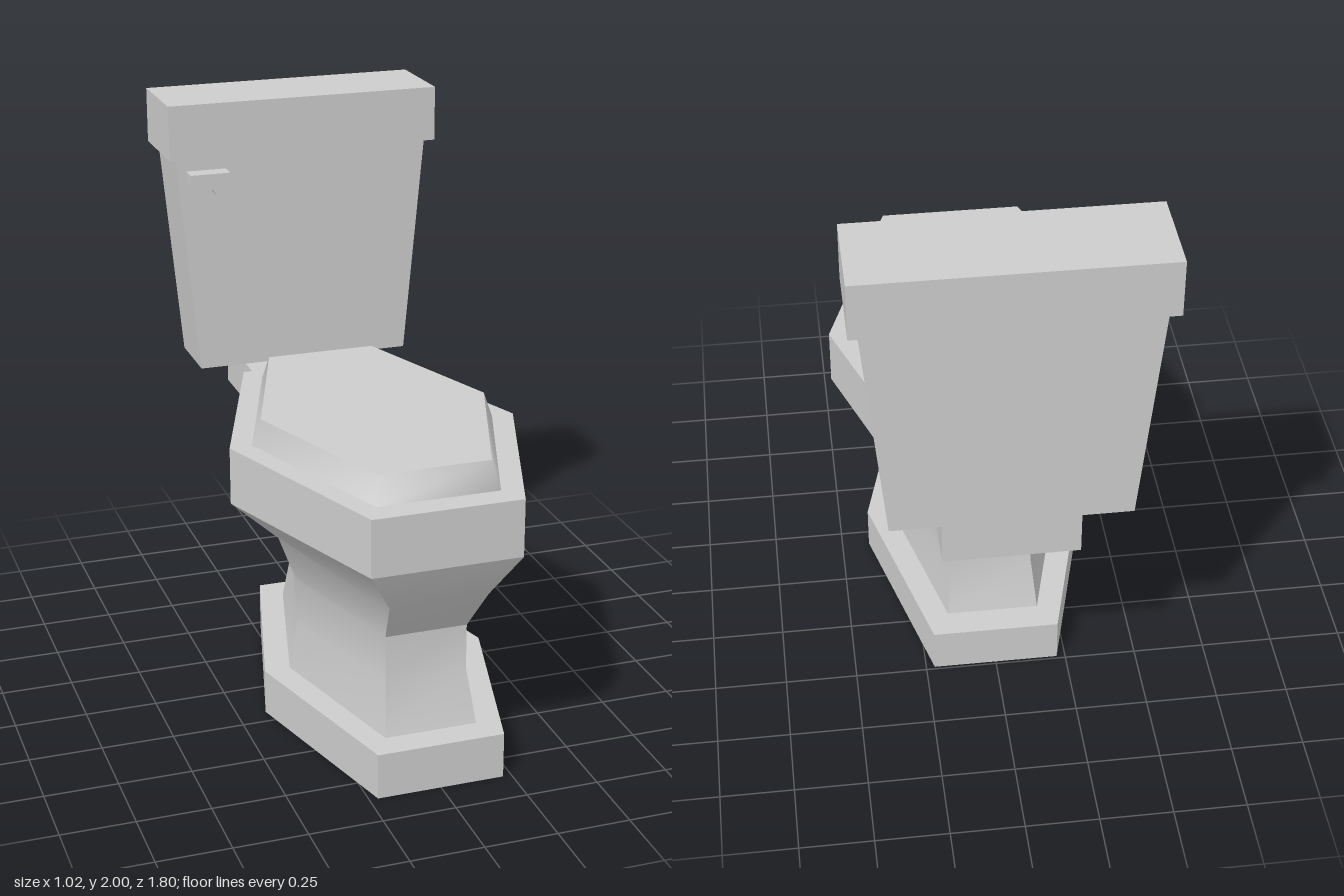
import * as THREE from 'three';
import { mergeGeometries, toCreasedNormals } from 'three/addons/utils/BufferGeometryUtils.js';

const MID_Z = 0.185; // widest line of the six-sided bowl

// Six-sided cross-section: half width at the middle and ends, front and back z
function hex(y, mid, end, front, back) {
  return [[end, front], [mid, MID_Z], [end, back], [-end, back], [-mid, MID_Z], [-end, front]]
    .map(([x, z]) => new THREE.Vector3(x, y, z));
}

// Four-sided cross-section
function rect(y, half, front, back) {
  return [[half, front], [half, back], [-half, back], [-half, front]]
    .map(([x, z]) => new THREE.Vector3(x, y, z));
}

// Walls through the sections (bottom to top), plus flat caps
function loft(rings, { crease = 0.02, top = true, bottom = true } = {}) {
  const walls = [], caps = [];
  const n = rings[0].length;
  for (let r = 0; r < rings.length - 1; r++) {
    const lo = rings[r], hi = rings[r + 1];
    for (let i = 0; i < n; i++) {
      const j = (i + 1) % n;
      walls.push(lo[i], lo[j], hi[j], lo[i], hi[j], hi[i]);
    }
  }
  const first = rings[0], last = rings[rings.length - 1];
  for (let i = 1; i < n - 1; i++) {
    if (top) caps.push(last[0], last[i], last[i + 1]);
    if (bottom) caps.push(first[0], first[i + 1], first[i]);
  }
  const parts = [toCreasedNormals(new THREE.BufferGeometry().setFromPoints(walls), crease)];
  if (caps.length) {
    const cap = new THREE.BufferGeometry().setFromPoints(caps);
    cap.computeVertexNormals();
    parts.push(cap);
  }
  return mergeGeometries(parts);
}

export function createModel() {
  const group = new THREE.Group();
  const porcelain = new THREE.MeshStandardMaterial({ color: 0xcccccc });
  porcelain.name = 'porcelain';

  const add = (name, geometry) => {
    const mesh = new THREE.Mesh(geometry, porcelain);
    mesh.name = name;
    group.add(mesh);
    return mesh;
  };

  // Foot slab
  add('base', loft([hex(0, 0.4, 0.22, 0.865, -0.49), hex(0.16, 0.4, 0.22, 0.865, -0.49)]));

  // Waisted pedestal flaring into the bowl
  add('bowl', loft([
    hex(0.16, 0.31, 0.16, 0.765, -0.39),
    hex(0.34, 0.28, 0.142, 0.71, -0.34),
    hex(0.5, 0.285, 0.142, 0.71, -0.34),
    hex(0.66, 0.345, 0.17, 0.825, -0.45),
    hex(0.81, 0.51, 0.257, 0.9, -0.525),
  ], { crease: 0.53, top: false, bottom: false }));

  add('rim', loft([hex(0.81, 0.51, 0.257, 0.9, -0.525), hex(1.01, 0.51, 0.257, 0.9, -0.525)],
    { bottom: false }));

  // Seat lid with a softly shaded bevel
  add('seatLid', loft([hex(1.01, 0.432, 0.21, 0.81, -0.445), hex(1.1, 0.4, 0.195, 0.765, -0.405)],
    { crease: 1.4, bottom: false }));

  // Shelf joining bowl and tank
  add('neck', loft([rect(0.86, 0.225, -0.525, -0.86), rect(1.01, 0.225, -0.525, -0.86)]));

  // Tapered tank and its cover
  add('tank', loft([rect(1.01, 0.393, -0.61, -0.86), rect(1.81, 0.468, -0.61, -0.86)]));
  add('tankCover', loft([rect(1.805, 0.497, -0.58, -0.897), rect(2, 0.497, -0.58, -0.897)]));

  // Flush handle on the tank front
  const outline = [[-0.43, 1.755], [-0.43, 1.715], [-0.35, 1.695], [-0.34, 1.68], [-0.285, 1.68], [-0.285, 1.755]];
  const shape = new THREE.Shape(outline.map(([x, y]) => new THREE.Vector2(x, y)));
  add('flushHandle', new THREE.ExtrudeGeometry(shape, { depth: 0.065, bevelEnabled: false }))
    .position.z = -0.612;

  return group;
}
